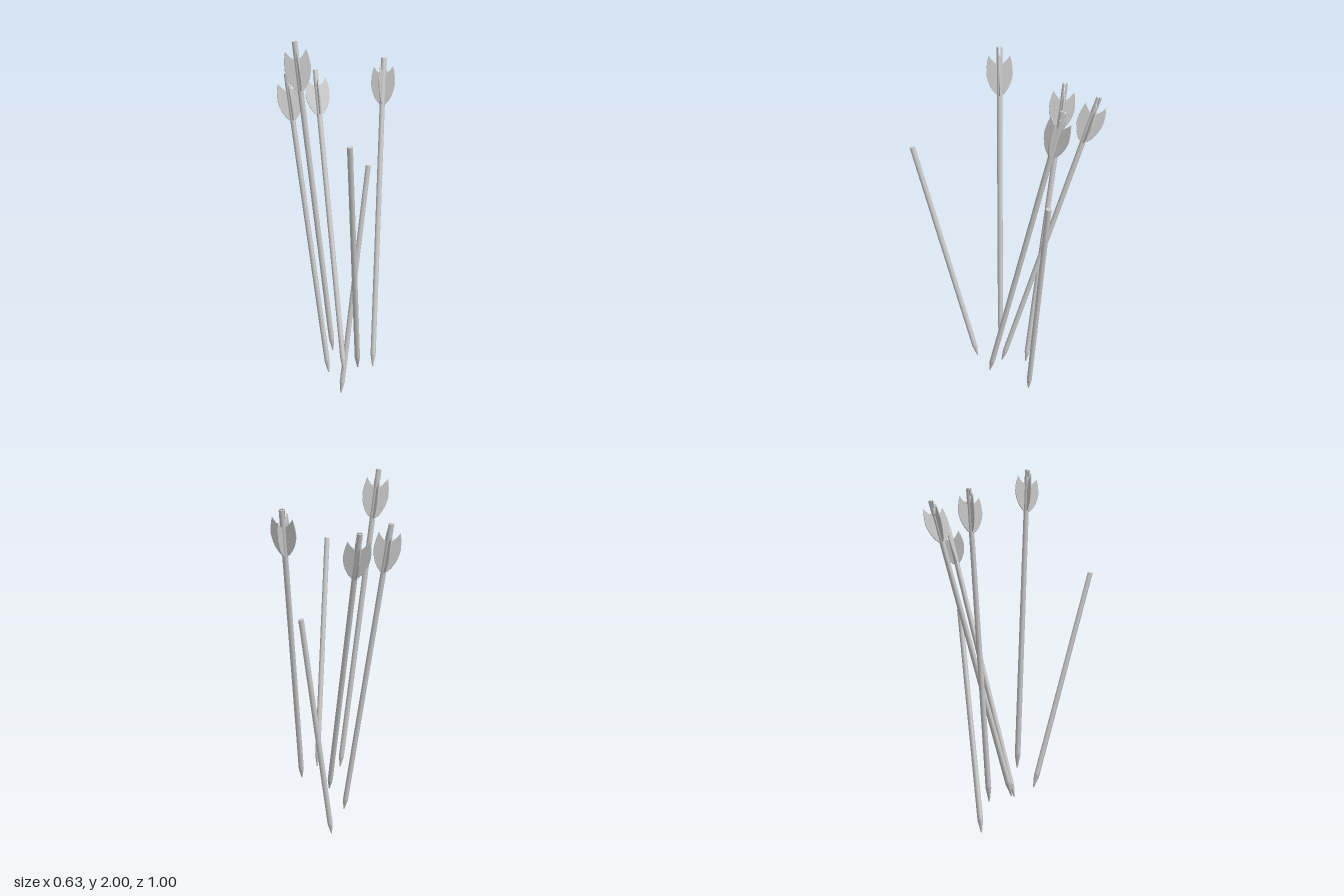
import * as THREE from 'three';

const R = 0.0145; // shaft radius
const grey = new THREE.MeshStandardMaterial({ color: 0xcccccc, side: THREE.DoubleSide });

// Tip and tail points; spin turns the feathers about the shaft
const arrows = [
  { tip: [-0.068, 0.33, 0.04], tail: [-0.26, 2.0, 0.04], spin: 0, feathers: true },
  { tip: [-0.068, 0.14, -0.107], tail: [-0.262, 1.8, -0.3], spin: 0, feathers: true },
  { tip: [-0.005, 0.2, 0.032], tail: [-0.08, 1.8, -0.46], spin: 0, feathers: true },
  { tip: [0.142, 0.245, 0.1], tail: [0.267, 1.88, -0.262], spin: -0.53, feathers: true },
  { tip: [0.004, 0.0, -0.122], tail: [0.173, 1.3, -0.208], spin: 0, feathers: false },
  { tip: [0.045, 0.275, 0.17], tail: [-0.058, 1.535, 0.488], spin: 0, feathers: false },
];

// Feather outline: swept belly, pointed upper corner, notch back to the shaft
function featherGeometry() {
  const s = new THREE.Shape();
  s.moveTo(0.005, -0.01);
  s.lineTo(R, 0);
  s.bezierCurveTo(0.04, 0.02, 0.062, 0.06, 0.068, 0.115);
  s.quadraticCurveTo(0.067, 0.165, 0.054, 0.207);
  s.quadraticCurveTo(0.035, 0.175, 0.005, 0.155);
  s.closePath();
  const g = new THREE.ExtrudeGeometry(s, {
    depth: 0.003, bevelEnabled: true, bevelThickness: 0.0015, bevelSize: 0.001,
    bevelOffset: -0.001, bevelSegments: 1, curveSegments: 8,
  });
  return g.translate(0, 0, -0.0015);
}

// One prong of the nock: a circle segment standing on the shaft end
function prongGeometry(height) {
  const a = 0.3;
  const s = new THREE.Shape();
  s.absarc(0, 0, R, a, Math.PI - a, false);
  s.closePath();
  return new THREE.ExtrudeGeometry(s, { depth: height, bevelEnabled: false, curveSegments: 8 })
    .rotateX(-Math.PI / 2);
}

function mesh(name, geometry) {
  const m = new THREE.Mesh(geometry, grey);
  m.name = name;
  return m;
}

function createArrow({ tip, tail, spin, feathers }) {
  const arrow = new THREE.Group();
  arrow.name = feathers ? 'featheredArrow' : 'plainArrow';
  const start = new THREE.Vector3(...tip);
  const axis = new THREE.Vector3(...tail).sub(start);
  const length = axis.length();
  arrow.position.copy(start);
  arrow.quaternion.setFromUnitVectors(new THREE.Vector3(0, 1, 0), axis.normalize());

  // Shaft and pointed tip
  const point = 0.065, nock = feathers ? 0.045 : 0;
  const shaftLength = length - point - nock;
  const shaft = mesh('shaft', new THREE.CylinderGeometry(R, R, shaftLength, 12));
  shaft.position.y = point + shaftLength / 2;
  const head = mesh('tip', new THREE.CylinderGeometry(R, 0.003, point, 12));
  head.position.y = point / 2;
  arrow.add(shaft, head);
  if (!feathers) return arrow;

  // Four feathers and a slotted nock at the tail
  const fletching = new THREE.Group();
  fletching.name = 'fletching';
  fletching.rotation.y = spin;
  const vane = featherGeometry(), prong = prongGeometry(nock);
  for (let i = 0; i < 4; i++) {
    const feather = mesh('feather', vane);
    feather.position.y = length - 0.252;
    feather.rotation.y = i * Math.PI / 2;
    fletching.add(feather);
  }
  for (let i = 0; i < 2; i++) {
    const half = mesh('nockProng', prong);
    half.position.y = length - nock;
    half.rotation.y = i * Math.PI;
    fletching.add(half);
  }
  arrow.add(fletching);
  return arrow;
}

export function createModel() {
  const group = new THREE.Group();
  group.name = 'arrowBundle';
  arrows.forEach((a) => group.add(createArrow(a)));
  return group;
}
